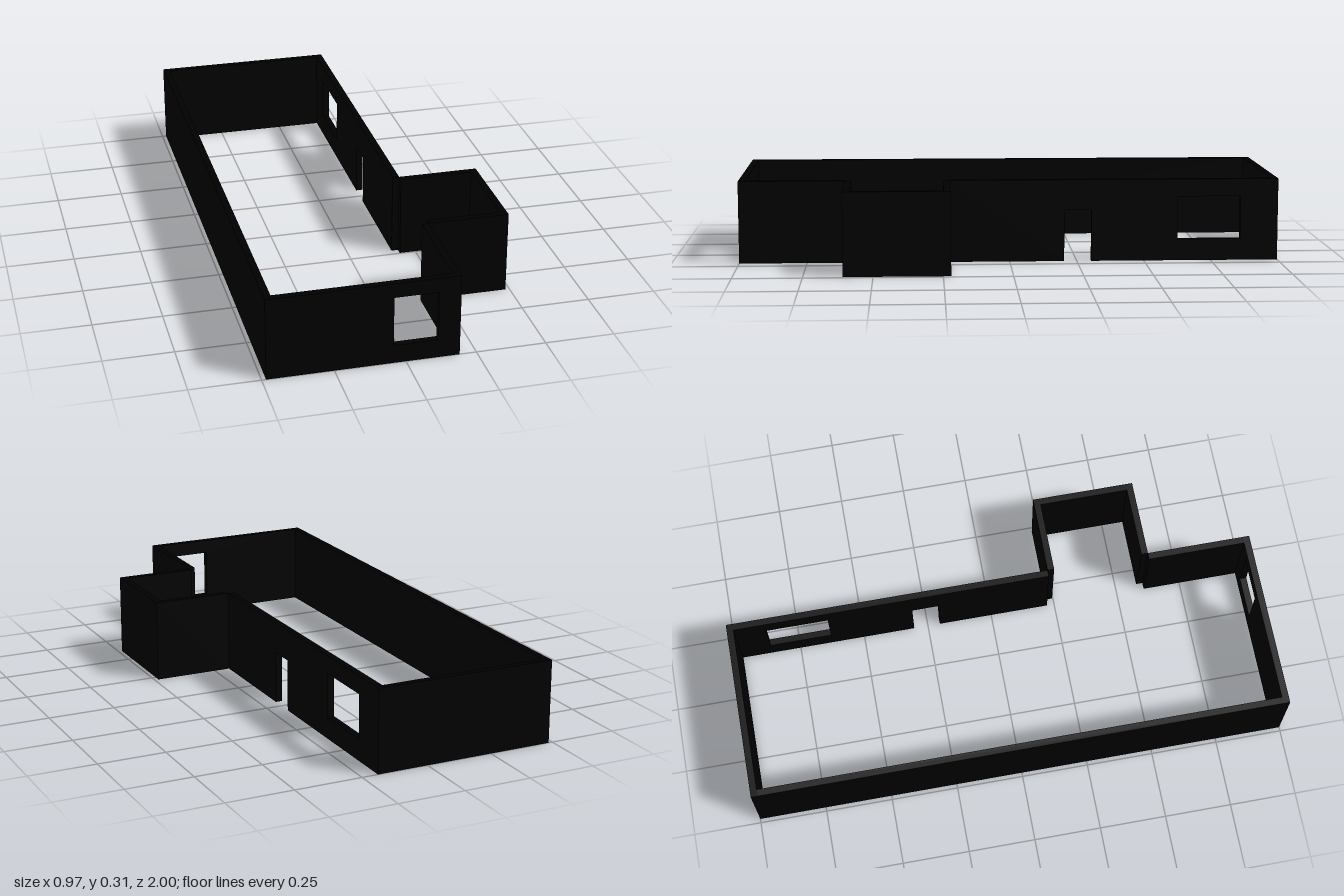
import * as THREE from 'three';

const H = 0.305;   // wall height
const T = 0.025;   // wall thickness
const material = new THREE.MeshStandardMaterial({ color: 0x000000 });

const corners = (u0, u1, v0, v1) =>
  [[u0, v0], [u1, v0], [u1, v1], [u0, v1]].map(([u, v]) => new THREE.Vector2(u, v));

// Upright slab from a floor outline with optional window holes [u0, u1, v0, v1]
function slab(name, outline, windows = []) {
  const shape = new THREE.Shape(outline);
  for (const w of windows) shape.holes.push(new THREE.Path(corners(...w).reverse()));
  const mesh = new THREE.Mesh(
    new THREE.ExtrudeGeometry(shape, { depth: T, bevelEnabled: false }), material);
  mesh.name = name;
  return mesh;
}

// Wall running along x, its back face at z
function wallX(name, x0, x1, z, windows) {
  const mesh = slab(name, corners(x0, x1, 0, H), windows);
  mesh.position.z = z;
  return mesh;
}

// Wall running along z, its outer face at x; outline is drawn in (-z, y)
function wallZ(name, z0, z1, x, windows, outline = corners(-z1, -z0, 0, H)) {
  const mesh = slab(name, outline, windows);
  mesh.rotation.y = Math.PI / 2;
  mesh.position.x = x - T;
  return mesh;
}

export function createModel() {
  const model = new THREE.Group();
  model.name = 'buildingWalls';

  const left = -0.485, right = 0.19, bay = 0.485;   // x of outer faces
  const bayBack = 0.222, bayFront = 0.608;          // z of the bay

  // Wall outline with the doorway cut up from the floor
  const doorOutline = [
    [-bayBack, 0], [0.203, 0], [0.203, 0.192], [0.304, 0.192],
    [0.304, 0], [1 - T, 0], [1 - T, H], [-bayBack, H],
  ].map(([u, v]) => new THREE.Vector2(u, v));

  model.add(
    // Main hall
    wallX('frontWall', left, right, 1 - T, [[-0.044, 0.113, 0.068, 0.252]]),
    wallX('backWall', left, right, -1),
    wallZ('longWall', -1 + T, 1 - T, left + T),
    wallZ('doorWall', -1, bayBack, right, [[0.625, 0.86, 0.08, 0.24]], doorOutline),
    wallZ('shortWall', bayFront, 1 - T, right),
    // Side bay
    wallX('bayBackWall', right, bay, bayBack),
    wallX('bayFrontWall', right, bay, bayFront - T),
    wallZ('bayEndWall', bayBack + T, bayFront - T, bay),
  );
  return model;
}
